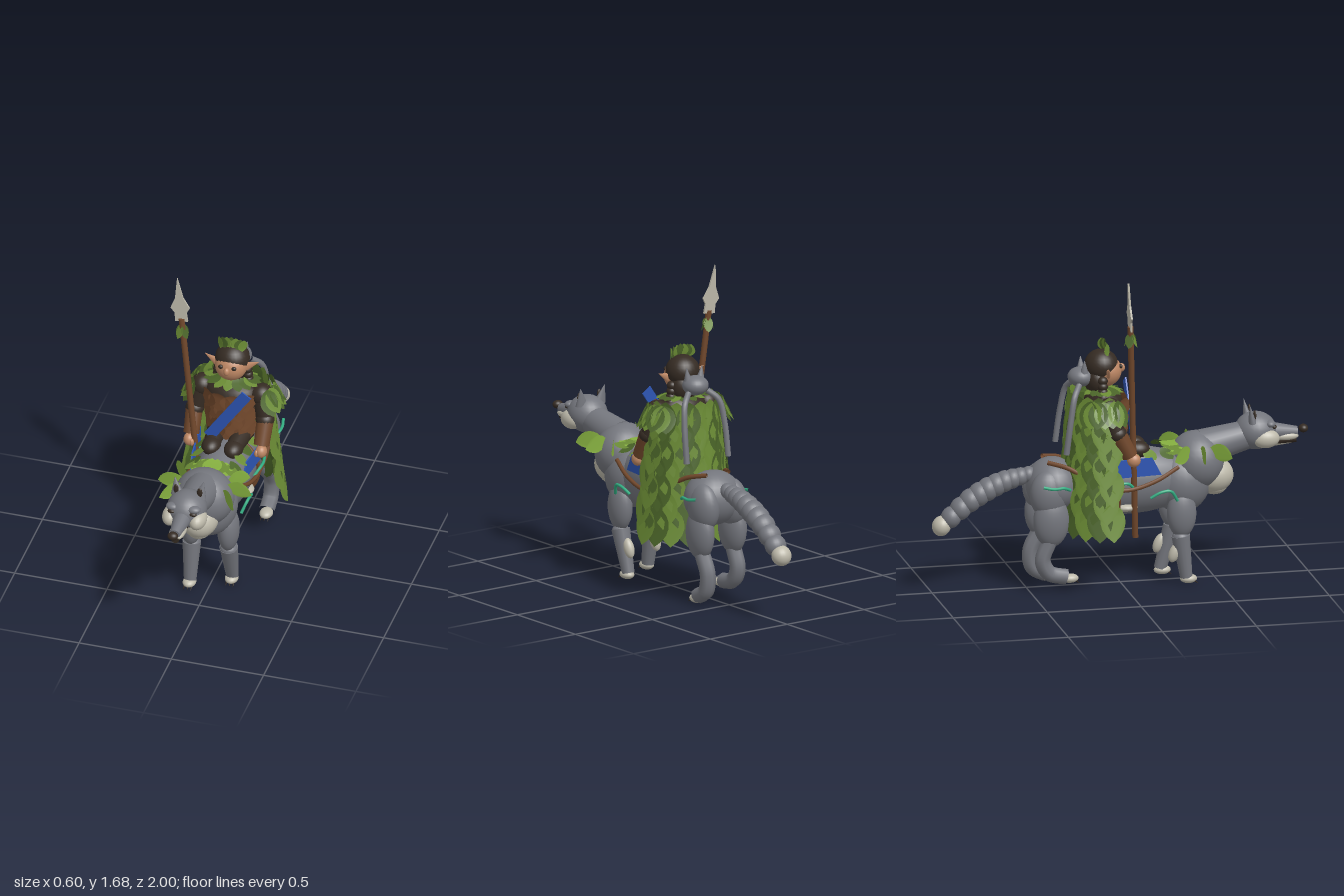
import * as THREE from 'three';

const mat = (name, color, side = THREE.FrontSide) => {
  const m = new THREE.MeshStandardMaterial({ color, side });
  m.name = name;
  return m;
};
const V = (x, y, z) => new THREE.Vector3(x, y, z);

export function createModel() {
  const root = new THREE.Group();
  root.name = 'wolfRider';
  const grey = mat('greyFur', 0x74767d);
  const cream = mat('paleFurAndSteel', 0xbdb9aa, THREE.DoubleSide);
  const bright = mat('brightLeaf', 0x86b040, THREE.DoubleSide);
  const green = mat('leaf', 0x6b8c35, THREE.DoubleSide);
  const darkGreen = mat('darkLeaf', 0x4a6428, THREE.DoubleSide);
  const dark = mat('darkLeatherAndHair', 0x352b23);
  const brown = mat('brownLeather', 0x70472b, THREE.DoubleSide);
  const skin = mat('skin', 0xbd8764);
  const blue = mat('blueCloth', 0x2d55b4, THREE.DoubleSide);
  const teal = mat('tealVine', 0x33ad82);

  const group = (name) => {
    const g = new THREE.Group();
    g.name = name;
    root.add(g);
    return g;
  };
  const wolf = group('wolf'), rider = group('rider'), cape = group('leafCape'), tack = group('saddleTack'), spear = group('spear');

  const add = (parent, name, geo, material) => {
    const m = new THREE.Mesh(geo, material);
    m.name = name;
    parent.add(m);
    return m;
  };
  const ball = (parent, name, material, p, r, rotX = 0) => {
    const m = add(parent, name, new THREE.SphereGeometry(1, 24, 16), material);
    m.position.set(...p);
    m.scale.set(...r);
    m.rotation.x = rotX;
    return m;
  };
  // Tapered round bar from a to b
  const bar = (parent, name, material, a, b, ra, rb = ra, sides = 14) => {
    const d = b.clone().sub(a);
    const m = add(parent, name, new THREE.CylinderGeometry(rb, ra, d.length(), sides), material);
    m.position.copy(a).addScaledVector(d, 0.5);
    m.quaternion.setFromUnitVectors(V(0, 1, 0), d.normalize());
    return m;
  };
  const tube = (parent, name, material, pts, r) =>
    add(parent, name, new THREE.TubeGeometry(new THREE.CatmullRomCurve3(pts.map(p => V(...p))), 20, r, 8), material);

  // Leaf: unit length along +y, gently folded along its midrib
  const outline = new THREE.Shape();
  outline.moveTo(0, 0);
  outline.bezierCurveTo(0.5, 0.15, 0.7, 0.65, 0, 1);
  outline.bezierCurveTo(-0.7, 0.65, -0.5, 0.15, 0, 0);
  const leafGeo = new THREE.ShapeGeometry(outline, 7);
  const lp = leafGeo.attributes.position;
  for (let i = 0; i < lp.count; i++) lp.setZ(i, -0.15 * Math.abs(lp.getX(i)));
  leafGeo.computeVertexNormals();
  const leaf = (parent, name, material, base, dir, normal, len, width) => {
    const m = add(parent, name, leafGeo, material);
    const y = dir.clone().normalize();
    const x = y.clone().cross(normal).normalize();
    m.quaternion.setFromRotationMatrix(new THREE.Matrix4().makeBasis(x, y, x.clone().cross(y)));
    m.position.copy(base);
    m.scale.set(width, len, width);
    return m;
  };

  // Wolf trunk, neck and head
  ball(wolf, 'trunk', grey, [0, 0.55, 0.03], [0.15, 0.18, 0.4]);
  ball(wolf, 'chest', grey, [0, 0.635, 0.405], [0.158, 0.155, 0.145]);
  ball(wolf, 'shoulders', grey, [0, 0.53, 0.32], [0.15, 0.17, 0.16]);
  ball(wolf, 'haunch', grey, [0, 0.55, -0.36], [0.16, 0.145, 0.14]);
  ball(wolf, 'chestRuff', cream, [0, 0.55, 0.49], [0.098, 0.095, 0.112]);
  ball(wolf, 'ruffTip', cream, [0, 0.495, 0.5], [0.065, 0.05, 0.07]);
  ball(wolf, 'bellyPatch', cream, [0, 0.43, 0.01], [0.15, 0.035, 0.09]);
  bar(wolf, 'neck', grey, V(0, 0.7, 0.44), V(0, 0.755, 0.68), 0.095, 0.075, 24);
  ball(wolf, 'skull', grey, [0, 0.775, 0.72], [0.105, 0.1, 0.11]);
  bar(wolf, 'muzzle', grey, V(0, 0.768, 0.76), V(0, 0.755, 0.94), 0.055, 0.028, 20);
  bar(wolf, 'lowerJaw', cream, V(0, 0.708, 0.76), V(0, 0.71, 0.91), 0.03, 0.016);
  bar(wolf, 'mouth', dark, V(0, 0.72, 0.78), V(0, 0.72, 0.935), 0.033, 0.022);
  ball(wolf, 'nose', dark, [0, 0.77, 0.975], [0.028, 0.022, 0.025]);
  for (const s of [-1, 1]) {
    ball(wolf, 'cheek', cream, [s * 0.072, 0.745, 0.76], [0.046, 0.05, 0.072]);
    ball(wolf, 'muzzleSide', cream, [s * 0.022, 0.737, 0.88], [0.02, 0.02, 0.065]);
    ball(wolf, 'brow', grey, [s * 0.057, 0.82, 0.785], [0.036, 0.02, 0.028]);
    ball(wolf, 'wolfEye', dark, [s * 0.058, 0.803, 0.806], [0.02, 0.011, 0.014]);
    bar(wolf, 'wolfEar', grey, V(s * 0.06, 0.835, 0.69), V(s * 0.078, 0.925, 0.675), 0.036, 0.002).scale.z = 0.6;
    ball(wolf, 'innerEar', dark, [s * 0.064, 0.872, 0.702], [0.014, 0.028, 0.008]);
    ball(wolf, 'upperForeleg', grey, [s * 0.1, 0.38, 0.305], [0.057, 0.13, 0.078]);
    ball(wolf, 'thigh', grey, [s * 0.105, 0.38, -0.39], [0.062, 0.14, 0.095]);
    ball(wolf, 'hip', grey, [s * 0.09, 0.52, -0.4], [0.075, 0.13, 0.1]);
  }
  const paw = (x, y, z) => {
    ball(wolf, 'paw', cream, [x, y, z], [0.035, 0.024, 0.045]);
    for (const i of [-1, 0, 1]) bar(wolf, 'claw', dark, V(x + i * 0.019, y - 0.01, z + 0.03), V(x + i * 0.02, y - 0.023, z + 0.045), 0.005, 0.001, 6);
  };
  // Striding legs: right fore forward, left fore back
  for (const [x, z] of [[-0.1, 0.33], [0.1, 0.235]]) {
    ball(wolf, 'knee', grey, [x, 0.25, 0.3], [0.046, 0.035, 0.045]);
    bar(wolf, 'foreleg', grey, V(x, 0.26, 0.3), V(x, 0.035, z), 0.049, 0.033);
    ball(wolf, 'legTuft', cream, [x, 0.17, z * 0.4 + 0.137], [0.028, 0.055, 0.03], 0.4);
    paw(x, 0.026, z + 0.012);
  }
  tube(wolf, 'leftHock', grey, [[0.105, 0.27, -0.41], [0.105, 0.17, -0.455], [0.105, 0.08, -0.44], [0.105, 0.04, -0.37]], 0.042);
  paw(0.105, 0.026, -0.36);
  tube(wolf, 'rightHock', grey, [[-0.105, 0.27, -0.4], [-0.105, 0.17, -0.435], [-0.105, 0.1, -0.4], [-0.105, 0.075, -0.31]], 0.042);
  paw(-0.105, 0.067, -0.29);

  // Segmented tail with pale tip
  const tail = new THREE.CatmullRomCurve3([V(0, 0.61, -0.49), V(0, 0.575, -0.63), V(0, 0.5, -0.78), V(0, 0.36, -0.95)]);
  for (let i = 0; i <= 10; i++) {
    const p = tail.getPoint(i / 10), r = 0.043 + 0.022 * Math.sin(i / 10 * 2.6);
    ball(wolf, i > 9 ? 'tailTip' : 'tailSegment', i > 9 ? cream : grey, p.toArray(), [r, r, r * 0.9], 0.4);
  }

  for (const s of [-1, 1]) {
    // Upright collar leaves fanning from the shoulders
    for (let i = 0; i < 3; i++) {
      const a = (i - 1) * 0.85, d = V(s * Math.cos(a), -0.3, Math.sin(a));
      leaf(tack, 'collarLeaf', bright, V(s * 0.1 + d.x * 0.02, 0.725, 0.4 + d.z * 0.07), d, V(-Math.sin(a), 0, s * Math.cos(a)), 0.14, 0.1);
    }
    // Leaves lying on the back
    for (let i = 0; i < 4; i++)
      leaf(tack, 'seatLeaf', i % 2 ? green : bright, V(s * (0.015 + 0.022 * i), 0.74 - 0.006 * i, 0.21), V(s * 0.15 * i, -0.02, 1), V(s * 0.12 * i, 1, 0.1), 0.12, 0.08);
    for (let i = 0; i < 4; i++)
      leaf(tack, 'flankLeaf', i % 2 ? green : darkGreen, V(s * 0.08, 0.735, 0.2 - i * 0.09), V(s * 0.8, -0.5, 0.5), V(s * 0.5, 1, 0), 0.1, 0.075);
    // Blanket flap
    const flap = new THREE.Shape([[-0.1, 0.605], [0.19, 0.605], [0.14, 0.7], [-0.1, 0.7]].map(p => new THREE.Vector2(-p[0], p[1])));
    const f = add(tack, 'blanketFlap', new THREE.ExtrudeGeometry(flap, { depth: 0.008, bevelEnabled: false }), blue);
    f.rotation.y = Math.PI / 2 - s * 0.12;
    f.position.x = s * 0.163 - 0.004;
    // Root straps and vines along the flank
    tube(tack, 'rootStrap', brown, [[s * 0.14, 0.64, 0.28], [s * 0.165, 0.58, 0.16], [s * 0.17, 0.54, 0.02], [s * 0.17, 0.55, -0.12], [s * 0.165, 0.6, -0.24]], 0.011);
    tube(tack, 'rootStrap', brown, [[s * 0.15, 0.63, -0.24], [s * 0.12, 0.665, -0.31], [s * 0.07, 0.685, -0.4]], 0.012);
    for (const [y, z, t] of [[0.51, 0.2, -0.02], [0.565, -0.03, 0.005], [0.56, -0.37, 0.02]])
      tube(tack, 'vine', teal, [[s * 0.158, y - 0.025 + t, z + 0.07], [s * 0.18, y + 0.012, z + 0.03], [s * 0.182, y + 0.01, z - 0.02], [s * 0.172, y + t, z - 0.075]], 0.008);
  }
  const girth = add(tack, 'girth', new THREE.TorusGeometry(0.16, 0.011, 8, 40), brown);
  girth.position.set(0, 0.53, -0.04);
  girth.scale.set(1, 1.1, 1);

  // Rider torso, scale armour and sash
  const torso = add(rider, 'torso', new THREE.LatheGeometry([[0, 0.7], [0.12, 0.71], [0.125, 0.8], [0.15, 0.95], [0.13, 1.02], [0.05, 1.06], [0, 1.06]].map(p => new THREE.Vector2(...p)), 28), dark);
  torso.scale.z = 0.7;
  torso.position.z = -0.09;
  for (let r = 0; r < 4; r++)
    for (let i = 0; i < 4 + r % 2; i++) {
      const a = (i - (3 + r % 2) / 2) * 0.5, w = 0.157 - r * 0.007;
      leaf(rider, 'armourScale', brown, V(w * Math.sin(a), 1.02 - r * 0.062, -0.085 + 0.73 * w * Math.cos(a)), V(0, -1, 0.06), V(Math.sin(a), 0, Math.cos(a)), 0.105, 0.15);
    }
  const sash = add(rider, 'sash', new THREE.BoxGeometry(0.06, 0.36, 0.008), blue);
  sash.position.set(0.02, 0.91, 0.052);
  sash.rotation.z = -0.6;

  // Head
  ball(rider, 'face', skin, [0, 1.145, -0.077], [0.085, 0.083, 0.083]);
  ball(rider, 'hair', dark, [0, 1.175, -0.1], [0.091, 0.086, 0.089]);
  ball(rider, 'hairBack', dark, [0, 1.1, -0.13], [0.085, 0.08, 0.06]);
  ball(rider, 'riderNose', skin, [0, 1.155, 0.008], [0.016, 0.023, 0.018]);
  for (const s of [-1, 1]) {
    ball(rider, 'riderEye', dark, [s * 0.036, 1.172, -0.005], [0.013, 0.012, 0.01]);
    bar(rider, 'pointedEar', skin, V(s * 0.075, 1.145, -0.08), V(s * 0.147, 1.18, -0.09), 0.026, 0.001).scale.z = 0.5;
    for (let i = 0; i < 4; i++) ball(rider, 'braid', dark, [s * (0.078 + 0.003 * i), 1.11 - i * 0.03, -0.11], [0.026, 0.024, 0.027]);
    // Arms
    ball(rider, 'shoulder', dark, [s * 0.16, 0.98, -0.09], [0.06, 0.06, 0.06]);
    bar(rider, 'upperArm', dark, V(s * 0.165, 0.98, -0.09), V(s * 0.19, 0.84, -0.06), 0.055, 0.045);
    ball(rider, 'elbow', dark, [s * 0.19, 0.85, -0.055], [0.049, 0.045, 0.049]);
    bar(rider, 'bracer', brown, V(s * 0.192, 0.845, -0.05), V(s * 0.19, 0.73, 0.01), 0.045, 0.041);
    ball(rider, 'hand', skin, [s * 0.195, 0.705, 0.03], [0.03, 0.036, 0.036]);
    ball(rider, 'thumb', skin, [s * 0.175, 0.7, 0.05], [0.012, 0.022, 0.016]);
    // Folded legs
    bar(rider, 'riderLeg', dark, V(s * 0.07, 0.74, -0.08), V(s * 0.06, 0.725, 0.07), 0.055, 0.045);
    ball(rider, 'riderKnee', dark, [s * 0.06, 0.725, 0.08], [0.05, 0.045, 0.065]);
    // Pauldron leaves
    for (let i = 0; i < 7; i++) {
      const a = (i - 3.5) * 0.35;
      leaf(cape, 'pauldronLeaf', i % 2 ? green : darkGreen, V(s * (0.175 + 0.035 * Math.cos(a)), 1.035, -0.12 + 0.08 * Math.sin(a)), V(s * 0.5 * Math.cos(a), -0.9, 0.3 * Math.sin(a)), V(s, 0.5, Math.sin(a)), 0.15, 0.12);
    }
    // Pelt: hanging paws and ears
    tube(cape, 'peltPaw', grey, [[s * 0.06, 1.09, -0.23], [s * 0.11, 1.04, -0.265], [s * 0.13, 0.92, -0.29], [s * 0.135, 0.74, -0.315]], 0.016);
    bar(cape, 'peltEar', grey, V(s * 0.04, 1.15, -0.2), V(s * 0.05, 1.215, -0.2), 0.022, 0.002, 10);
  }
  ball(cape, 'peltHead', grey, [0, 1.12, -0.21], [0.07, 0.052, 0.068]);

  // Leaf crown and neck ruff
  for (let i = 0; i < 7; i++) {
    const a = (i - 3) * 0.26;
    leaf(rider, 'crownLeaf', i % 2 ? darkGreen : green, V(0.085 * Math.sin(a), 1.25 - 0.004 * Math.abs(i - 3), -0.09 + 0.02 * Math.cos(a)), V(0.15 * Math.sin(a), 1, -0.15), V(Math.sin(a), 0.2, Math.cos(a)), 0.068, 0.062);
  }
  for (let i = 0; i < 16; i++) {
    const a = i / 16 * Math.PI * 2, d = V(Math.sin(a), -0.3, 0.75 * Math.cos(a));
    leaf(cape, 'ruffLeaf', i % 3 ? darkGreen : green, V(0.07 * d.x, 1.07, -0.1 + 0.045 * d.z), d, V(d.x, 2, d.z), 0.09, 0.065);
  }

  // Cape: overlapping rows around the back, widening downward
  for (let r = 0; r < 7; r++)
    for (let i = 0; i < 10; i++) {
      const t = r / 6, a = (i - 4.5 + (r % 2 ? 0.25 : -0.25)) / 4.5 * 1.55;
      const n = V(Math.sin(a), 0.2, -Math.cos(a));
      const base = V((0.19 + 0.07 * t) * n.x, 1.05 - 0.55 * t, -0.11 + (0.165 + 0.035 * t) * n.z);
      leaf(cape, 'capeLeaf', (r * 5 + i * 3) % 5 < 3 ? green : darkGreen, base, V(0.16 * n.x, -1, 0.08 * n.z), n, 0.21, 0.15);
    }

  // Spear
  bar(spear, 'shaft', brown, V(-0.116, 0.27, 0.055), V(-0.246, 1.44, 0), 0.016);
  const blade = new THREE.Shape([[-0.035, 0], [0.035, 0], [0.032, 0.05], [0.052, 0.08], [0.022, 0.14], [0, 0.26], [-0.022, 0.14], [-0.052, 0.08], [-0.032, 0.05]].map(p => new THREE.Vector2(...p)));
  const tip = add(spear, 'blade', new THREE.ExtrudeGeometry(blade, { depth: 0.01, bevelEnabled: false }), cream);
  tip.position.set(-0.246, 1.423, -0.006);
  tip.rotation.set(-0.06, 0, 0.11);
  for (let i = 0; i < 4; i++) {
    const a = i * Math.PI / 2 + 0.5, n = V(Math.cos(a), 0.1, Math.sin(a));
    leaf(spear, 'spearLeaf', i % 2 ? green : darkGreen, V(-0.241 + 0.012 * n.x, 1.41, 0.002 + 0.012 * n.z), V(0.3 * n.x, -1, 0.3 * n.z), n, 0.085, 0.055);
  }
  return root;
}
